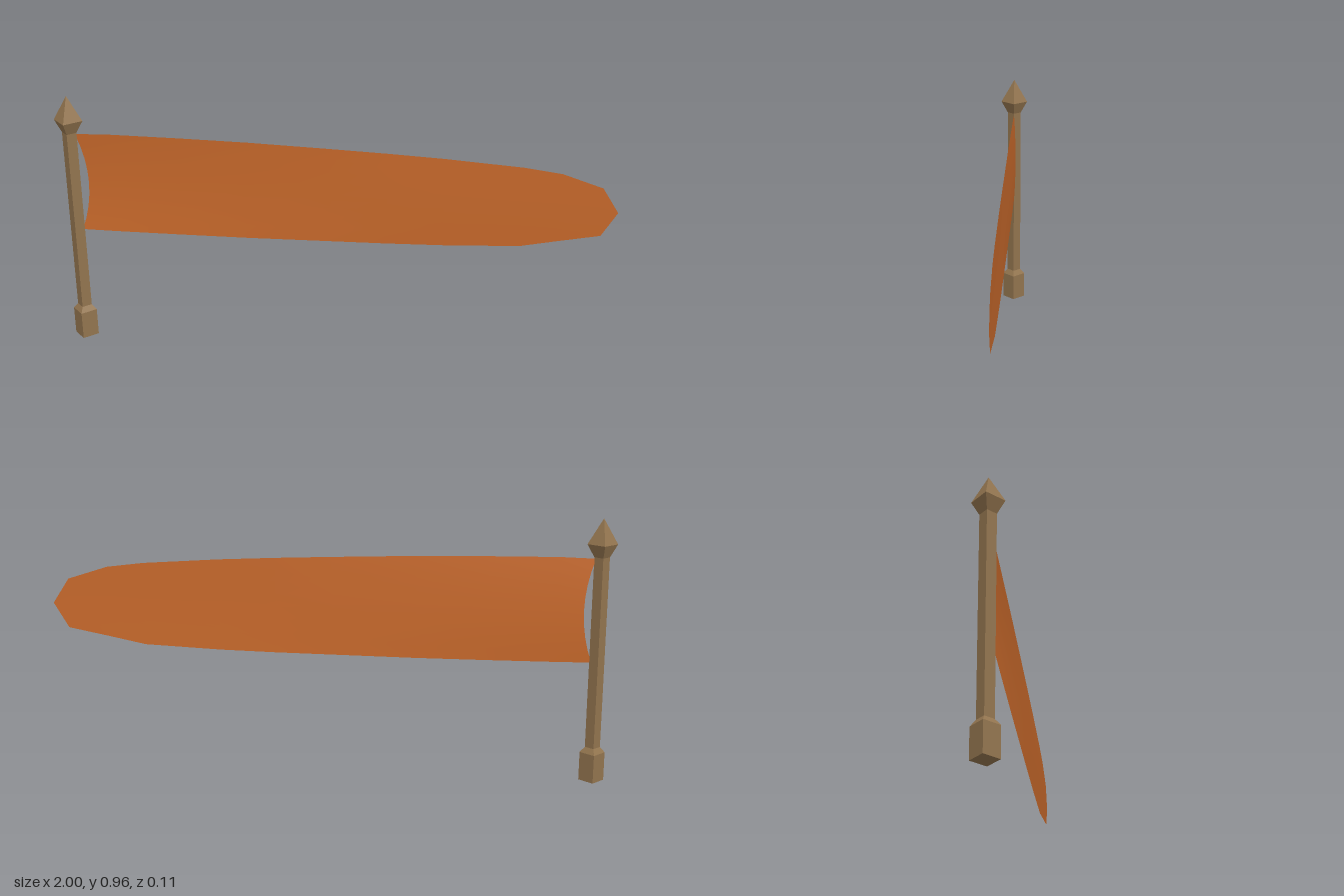
import * as THREE from 'three';

// Columns of the cloth from pole to tip: x top, y top, x bottom, y bottom
const CLOTH = [
  [-0.925, 0.815, -0.925, 0.44],
  [-0.8, 0.82, -0.8, 0.441],
  [-0.55, 0.821, -0.55, 0.445],
  [-0.3, 0.82, -0.3, 0.45],
  [0, 0.814, 0, 0.459],
  [0.2, 0.809, 0.2, 0.465],
  [0.4, 0.802, 0.4, 0.473],
  [0.67, 0.787, 0.67, 0.49],
  [0.8, 0.772, 0.8, 0.519],
  [0.94, 0.728, 0.945, 0.55],
  [0.997, 0.64, 0.997, 0.64],
];

function clothGeometry(rows = 8) {
  const pos = [], index = [];
  CLOTH.forEach(([xt, yt, xb, yb], i) => {
    for (let j = 0; j <= rows; j++) {
      const t = j / rows;
      const bulge = 1 - (2 * t - 1) ** 2;
      const x = THREE.MathUtils.lerp(xt, xb, t) + (i === 0 ? 0.035 * bulge : 0);
      // gentle billow that fades to the tip
      const z = -0.008 * bulge * Math.cos(1.6 * (x + 0.9)) * (1 - x) / 1.9;
      pos.push(x, THREE.MathUtils.lerp(yt, yb, t), z);
    }
  });
  const n = rows + 1;
  for (let i = 0; i < CLOTH.length - 1; i++) {
    for (let j = 0; j < rows; j++) {
      const a = i * n + j, b = a + n;
      index.push(a, a + 1, b);
      if (i < CLOTH.length - 2) index.push(b, a + 1, b + 1);
    }
  }
  const g = new THREE.BufferGeometry();
  g.setAttribute('position', new THREE.Float32BufferAttribute(pos, 3));
  g.setIndex(index);
  g.computeVertexNormals();
  return g;
}

export function createModel() {
  const group = new THREE.Group();
  const wood = new THREE.MeshStandardMaterial({ color: 0x93754f, flatShading: true });
  wood.name = 'brown wood';
  const orange = new THREE.MeshStandardMaterial({ color: 0xc8692b, side: THREE.DoubleSide });
  orange.name = 'orange cloth';

  const add = (name, geometry, material) => {
    const mesh = new THREE.Mesh(geometry, material);
    mesh.name = name;
    group.add(mesh);
    return mesh;
  };

  // Four-sided turned parts, corners on the x and z axes
  const turned = (name, profile) => {
    const points = profile.map(([r, y]) => new THREE.Vector2(r, y));
    add(name, new THREE.LatheGeometry(points, 4), wood).position.x = -0.945;
  };
  turned('poleBase', [[0, 0], [0.045, 0], [0.045, 0.105], [0.027, 0.125]]);
  turned('pole', [[0.027, 0.125], [0.027, 0.82]]);
  turned('finial', [[0.027, 0.82], [0.053, 0.866], [0, 0.957]]);

  add('flagCloth', clothGeometry(), orange);
  return group;
}
